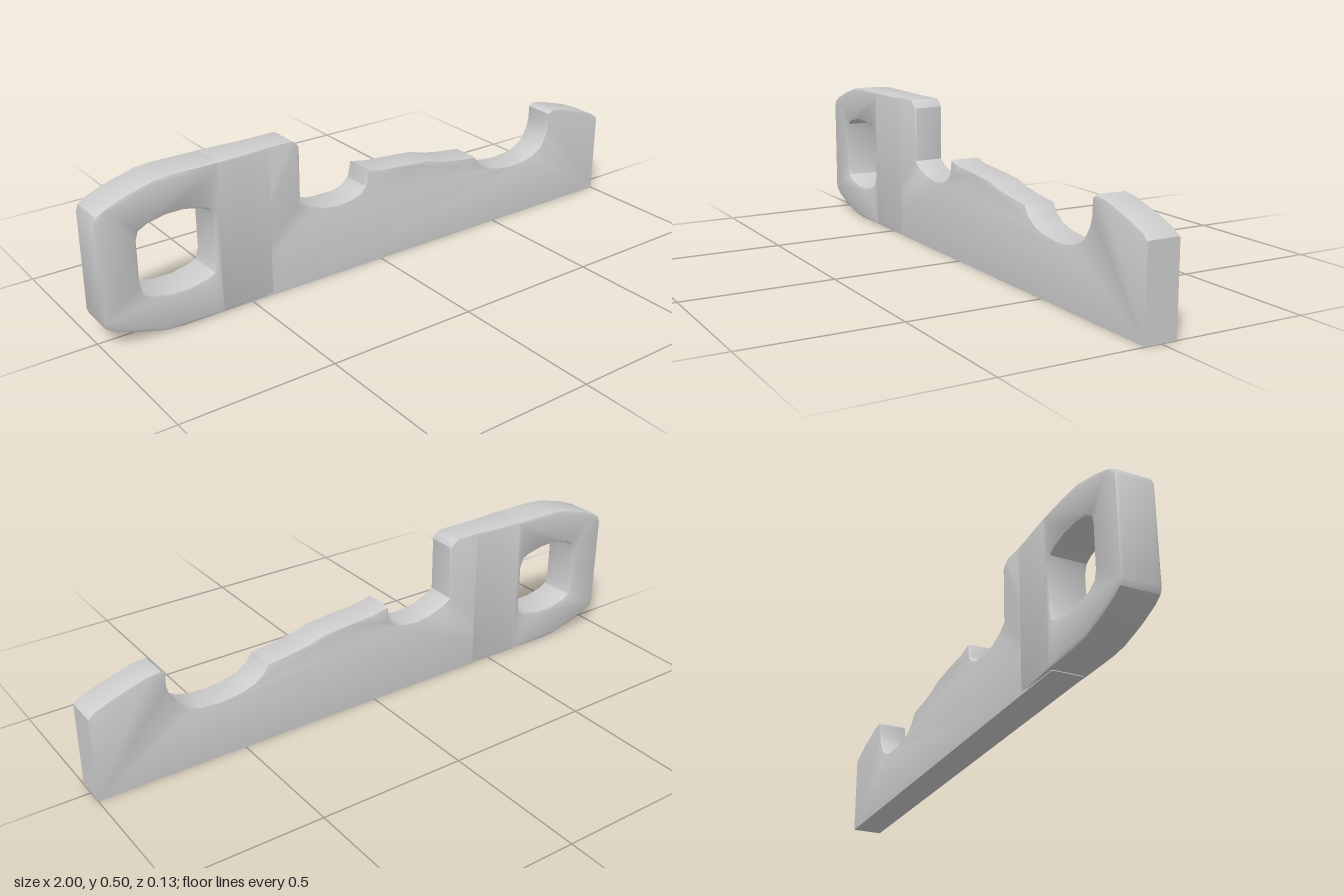
import * as THREE from 'three';
import { toCreasedNormals } from 'three/addons/utils/BufferGeometryUtils.js';

const MID = 0.252; // height of the handle's mirror line

const toPoints = (list) => list.map(([x, y]) => new THREE.Vector2(x, y));
const mirrorY = (list) => list.map(([x, y]) => [x, 2 * MID - y]).reverse();

// Extrude centred on z, with softened edges kept inside the outline
function slab(shape, halfDepth, bevel) {
  const geo = new THREE.ExtrudeGeometry(shape, {
    depth: 2 * (halfDepth - bevel), bevelEnabled: true, bevelThickness: bevel,
    bevelSize: bevel, bevelOffset: -bevel, bevelSegments: 2,
  });
  return geo.translate(0, 0, bevel - halfDepth);
}

export function createModel() {
  const group = new THREE.Group();
  const material = new THREE.MeshStandardMaterial({ color: 0xcccccc });
  const add = (name, geo) => {
    const mesh = new THREE.Mesh(toCreasedNormals(geo, 0.55), material);
    mesh.name = name;
    group.add(mesh);
  };

  // Notched blade: a straight base with two scooped notches on top
  const blade = new THREE.Shape(toPoints([
    [-0.61, 0], [1, 0], [1, 0.285], [0.98, 0.3], [0.92, 0.325], [0.81, 0.358],
    [0.765, 0.364], [0.75, 0.352], [0.75, 0.305], [0.74, 0.27], [0.715, 0.23],
    [0.68, 0.207], [0.64, 0.197], [0.58, 0.193], [0.51, 0.2], [0.46, 0.215],
    [0.425, 0.24], [0.405, 0.268], [0.32, 0.278], [0.25, 0.29], [0.2, 0.306],
    [0.1, 0.315], [0, 0.322], [-0.052, 0.334], [-0.064, 0.28], [-0.085, 0.259],
    [-0.12, 0.247], [-0.17, 0.243], [-0.23, 0.25], [-0.28, 0.268], [-0.314, 0.29],
    [-0.314, 0.475], [-0.322, 0.488], [-0.342, 0.502], [-0.61, 0.502],
  ]));
  const bladeGeo = slab(blade, 0.053, 0.007);
  // Keep the underside and the end face square
  const p = bladeGeo.attributes.position;
  for (let i = 0; i < p.count; i++) {
    if (p.getY(i) < 0.02) p.setY(i, 0);
    if (p.getX(i) > 0.99) p.setX(i, 1);
  }
  add('notchedBlade', bladeGeo);

  // Thicker handle loop with a rounded opening
  const handleTop = [
    [-0.6, 0.501], [-0.75, 0.502], [-0.81, 0.497], [-0.9, 0.473], [-0.965, 0.448],
    [-0.992, 0.43], [-1, 0.41],
  ];
  const handle = new THREE.Shape(toPoints([...handleTop, ...mirrorY(handleTop)]));
  const holeTop = [
    [-0.625, 0.325], [-0.635, 0.355], [-0.66, 0.367], [-0.72, 0.38], [-0.78, 0.38],
    [-0.84, 0.367], [-0.868, 0.352], [-0.876, 0.325],
  ];
  handle.holes.push(new THREE.Path(toPoints([...holeTop, ...mirrorY(holeTop)])));
  add('handleLoop', slab(handle, 0.064, 0.01));

  // Tapered neck blending the handle's thickness into the blade
  const plan = new THREE.Shape(toPoints([
    [-0.612, -0.063], [-0.53, -0.059], [-0.4, -0.0515],
    [-0.4, 0.0515], [-0.53, 0.059], [-0.612, 0.063],
  ]));
  const neck = new THREE.ExtrudeGeometry(plan, {
    depth: 0.48, bevelThickness: 0.009, bevelSize: 0.007, bevelOffset: -0.007, bevelSegments: 2,
  });
  add('taperedNeck', neck.translate(0, 0, -0.24).rotateX(-Math.PI / 2).translate(0, MID, 0));

  return group;
}
